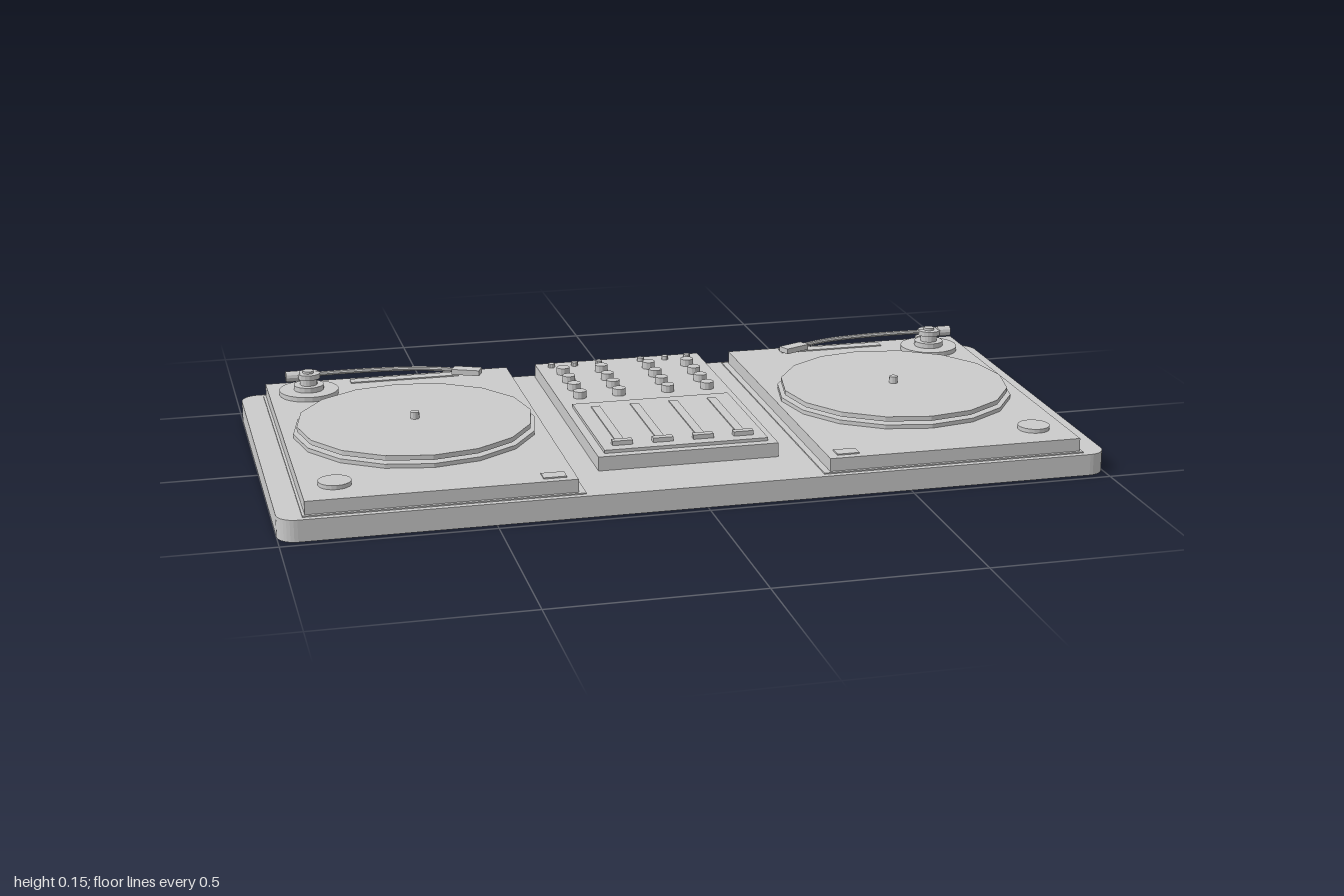
import * as THREE from 'three';

const material = new THREE.MeshStandardMaterial({ color: 0xcccccc, flatShading: true });

function add(parent, name, geometry, x, y, z) {
  const mesh = new THREE.Mesh(geometry, material);
  mesh.name = name;
  mesh.position.set(x, y, z);
  parent.add(mesh);
  return mesh;
}

// Box and upright disc, both placed by their bottom face
const box = (parent, name, w, h, d, x, y, z) =>
  add(parent, name, new THREE.BoxGeometry(w, h, d), x, y + h / 2, z);
const disc = (parent, name, r, h, x, y, z, sides = 16) =>
  add(parent, name, new THREE.CylinderGeometry(r, r, h, sides), x, y + h / 2, z);

const BASE = 0.053, TOP = 0.088;

// Base slab with rounded corners
function buildBase(parent) {
  const w = 1, d = 0.48, r = 0.045;
  const shape = new THREE.Shape();
  shape.absarc(w - r, d - r, r, 0, Math.PI / 2);
  shape.absarc(-w + r, d - r, r, Math.PI / 2, Math.PI);
  shape.absarc(-w + r, -d + r, r, Math.PI, Math.PI * 1.5);
  shape.absarc(w - r, -d + r, r, Math.PI * 1.5, Math.PI * 2);
  const geometry = new THREE.ExtrudeGeometry(shape, { depth: BASE, bevelEnabled: false, curveSegments: 4 });
  geometry.rotateX(-Math.PI / 2);
  add(parent, 'base', geometry, 0, 0, 0);
}

// Tonearm on its round stand; s is the side of the deck
function buildTonearm(parent, s) {
  const arm = new THREE.Group();
  arm.name = 'tonearm';
  parent.add(arm);
  const px = s * 0.835, pz = -0.352;
  disc(arm, 'armStand', 0.075, 0.012, px, TOP, pz, 24);
  disc(arm, 'armCollar', 0.038, 0.013, px, 0.1, pz);
  disc(arm, 'armPost', 0.022, 0.022, px, 0.11, pz);
  disc(arm, 'armPivot', 0.03, 0.013, px, 0.13, pz);
  disc(arm, 'pivotCap', 0.014, 0.006, px, 0.143, pz);
  box(arm, 'armLift', 0.018, 0.014, 0.018, px - s * 0.01, 0.1, pz - 0.045);

  const weight = add(arm, 'counterweight', new THREE.CylinderGeometry(0.014, 0.014, 0.035, 12), px + s * 0.04, 0.136, pz);
  weight.rotation.z = Math.PI / 2;

  const path = [[0.835, -0.352], [0.74, -0.355], [0.64, -0.351], [0.54, -0.335], [0.45, -0.298]]
    .map(([x, z]) => new THREE.Vector3(s * x, 0.138, z));
  const tube = new THREE.TubeGeometry(new THREE.CatmullRomCurve3(path), 16, 0.006, 8);
  add(arm, 'armTube', tube, 0, 0, 0);
  const head = box(arm, 'headshell', 0.072, 0.014, 0.032, s * 0.437, 0.13, -0.29);
  head.rotation.y = s * 0.42;
}

// One turntable
function buildTurntable(s) {
  const deck = new THREE.Group();
  deck.name = s > 0 ? 'leftTurntable' : 'rightTurntable';
  const cx = s * 0.615;
  box(deck, 'deckFoot', 0.655, 0.003, 0.93, cx, BASE, 0);
  box(deck, 'deckBody', 0.632, TOP - BASE, 0.914, s * 0.62, BASE, 0);

  // Platter, spacer, record and spindle
  disc(deck, 'platter', 0.297, 0.01, cx, TOP, 0);
  disc(deck, 'spacer', 0.088, 0.008, cx, 0.097, 0);
  disc(deck, 'record', 0.288, 0.012, cx, 0.104, 0);
  disc(deck, 'spindle', 0.011, 0.018, cx, 0.115, 0, 12);

  buildTonearm(deck, s);

  // Deck controls
  disc(deck, 'startButton', 0.039, 0.01, s * 0.855, TOP, 0.357, 20);
  box(deck, 'rearStrip', 0.28, 0.003, 0.03, s * 0.58, TOP, -0.425);
  box(deck, 'frontSwitch', 0.055, 0.003, 0.035, s * 0.355, TOP, 0.42);
  return deck;
}

// Mixer between the turntables
function buildMixer() {
  const mixer = new THREE.Group();
  mixer.name = 'mixer';
  box(mixer, 'mixerBody', 0.444, TOP - BASE, 0.78, -0.004, BASE, -0.075);
  box(mixer, 'faderPanel', 0.404, 0.008, 0.372, -0.004, TOP, 0.107);

  // Small dials along the back
  for (const x of [-0.188, -0.126, -0.06, 0.054, 0.12, 0.18])
    disc(mixer, 'smallDial', 0.009, 0.01, x, TOP, -0.43, 10);

  // Channel knobs
  for (const x of [-0.17, -0.068, 0.06, 0.164])
    for (const z of [-0.365, -0.292, -0.225, -0.155])
      disc(mixer, 'knob', 0.017, 0.018, x, TOP, z, 12);

  // Channel faders
  for (let i = 0; i < 4; i++) {
    const x = -0.155 + i * 0.1;
    box(mixer, 'faderTrack', 0.022, 0.003, 0.3, x, 0.096, 0.11);
    box(mixer, 'faderCap', 0.05, 0.011, 0.018, x, 0.096, 0.255);
  }
  return mixer;
}

export function createModel() {
  const model = new THREE.Group();
  model.name = 'djConsole';
  buildBase(model);
  for (const s of [-1, 1]) model.add(buildTurntable(s));
  model.add(buildMixer());
  return model;
}
